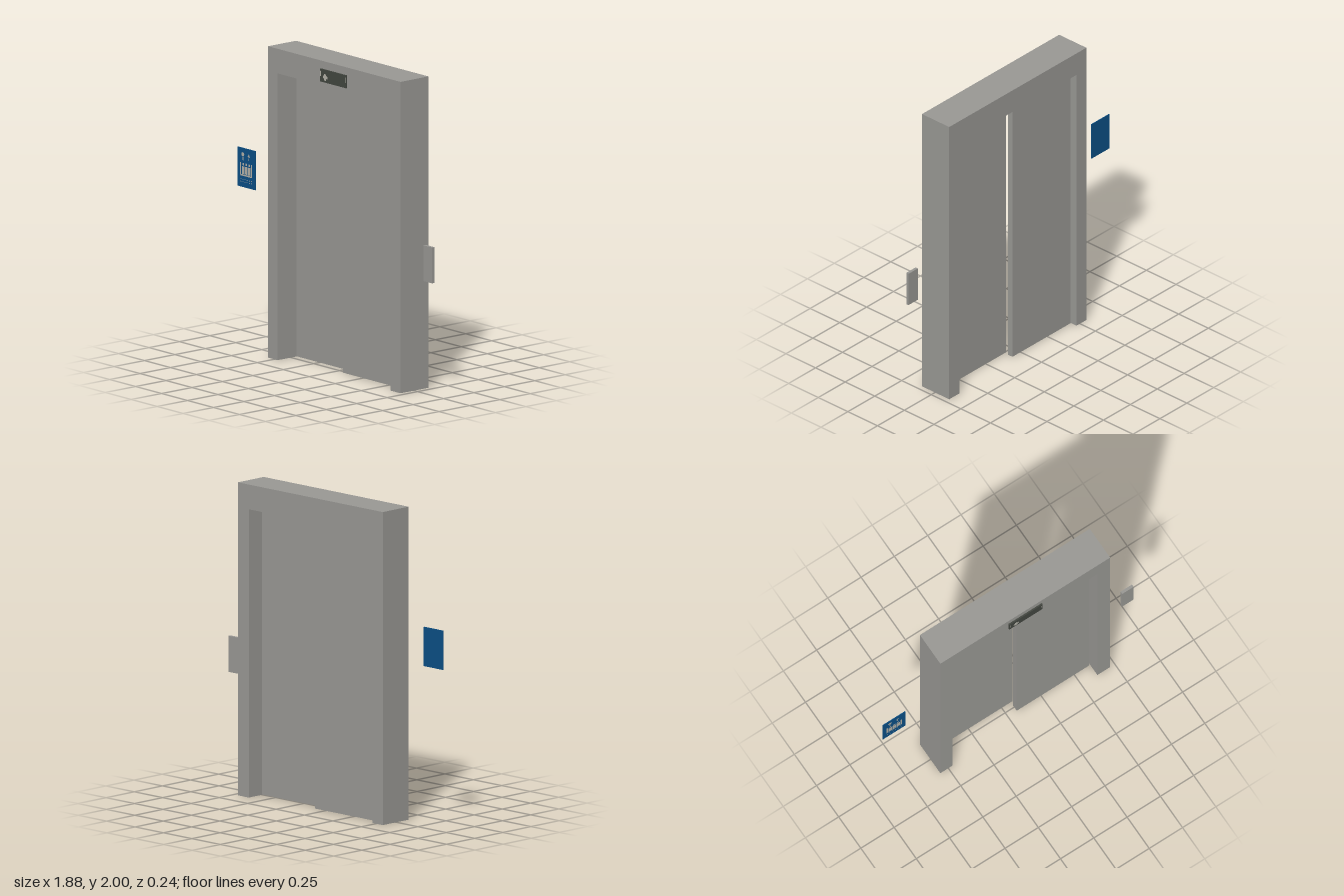
import * as THREE from 'three';

export function createModel() {
  const model = new THREE.Group();
  model.name = 'elevatorEntrance';

  const mat = (name, color, side = THREE.FrontSide) => {
    const m = new THREE.MeshStandardMaterial({ color, side });
    m.name = name;
    return m;
  };
  const steel = mat('brushed steel', 0x999894);
  const dark = mat('dark display', 0x434740);
  const blue = mat('sign blue', 0x0b4f85);
  const pale = mat('pale symbol', 0xb4b2a8, THREE.DoubleSide);

  // Box given by its limits on each axis
  const box = (name, material, x0, x1, y0, y1, z0, z1, parent = model) => {
    const mesh = new THREE.Mesh(new THREE.BoxGeometry(x1 - x0, y1 - y0, z1 - z0), material);
    mesh.position.set((x0 + x1) / 2, (y0 + y1) / 2, (z0 + z1) / 2);
    mesh.name = name;
    parent.add(mesh);
    return mesh;
  };
  // Flat painted shape facing +z
  const plate = (name, geometry, x, y, z, parent) => {
    const mesh = new THREE.Mesh(geometry, pale);
    mesh.position.set(x, y, z);
    mesh.name = name;
    parent.add(mesh);
    return mesh;
  };
  const rect = (w, h) => new THREE.PlaneGeometry(w, h);

  // Door surround: two posts and a header, open at the floor
  const outline = new THREE.Shape([
    [-0.56, 0], [-0.468, 0], [-0.468, 1.842], [0.619, 1.842],
    [0.619, 0], [0.715, 0], [0.715, 2], [-0.56, 2],
  ].map(([x, y]) => new THREE.Vector2(x, y)));
  const frame = new THREE.Mesh(
    new THREE.ExtrudeGeometry(outline, { depth: 0.23, bevelEnabled: false }), steel);
  frame.position.z = -0.12;
  frame.name = 'doorFrame';
  model.add(frame);

  // Two sliding panels on separate tracks
  box('rearDoorPanel', steel, -0.46, 0.08, 0.004, 1.842, -0.077, -0.038);
  box('frontDoorPanel', steel, 0.067, 0.611, 0.004, 1.842, -0.01, 0.03);

  // Floor indicator above the doors
  const indicator = new THREE.Group();
  indicator.name = 'floorIndicator';
  model.add(indicator);
  box('indicatorHousing', dark, -0.05, 0.202, 1.868, 1.95, 0.11, 0.12, indicator);
  const iz = 0.1212;
  plate('indicatorSymbol', rect(0.042, 0.016), 0.002, 1.902, iz, indicator);
  plate('indicatorSymbolUpright', rect(0.016, 0.042), 0.002, 1.902, iz, indicator);
  plate('indicatorSymbolCentre', new THREE.CircleGeometry(0.017, 8), 0.002, 1.902, iz, indicator);
  for (const x of [-0.042, 0.194]) {
    plate('indicatorEndMark', rect(0.005, 0.035), x, 1.92, iz, indicator);
  }

  // Call panel on the model's left
  box('callPanel', steel, 0.852, 0.938, 0.735, 0.965, 0.021, 0.04);

  // Wall sign on the model's right
  const sign = new THREE.Group();
  sign.name = 'wallSign';
  model.add(sign);
  box('signBoard', blue, -0.942, -0.772, 1.025, 1.276, 0.03, 0.035, sign);
  const sz = 0.0362;
  const cx = -0.857;

  // Pictogram of a cabin with passengers
  for (const s of [-1, 1]) {
    plate('cabinSide', rect(0.009, 0.08), cx + s * 0.053, 1.142, sz, sign);
  }
  plate('cabinFloor', rect(0.114, 0.01), cx, 1.102, sz, sign);
  for (const i of [-1, 0, 1]) {
    plate('passengerBody', rect(0.025, 0.05), cx + i * 0.029, 1.134, sz, sign);
    plate('passengerHead', new THREE.CircleGeometry(0.009, 10), cx + i * 0.029, 1.173, sz, sign);
  }

  // Marks above the cabin and dashes below it
  plate('roundMark', new THREE.CircleGeometry(0.014, 10), -0.889, 1.235, sz, sign);
  plate('roundMarkStem', rect(0.008, 0.022), -0.889, 1.208, sz, sign);
  plate('arrowMark', new THREE.CircleGeometry(0.014, 3), -0.832, 1.232, sz, sign)
    .rotation.z = Math.PI / 2;
  plate('arrowMarkStem', rect(0.008, 0.016), -0.832, 1.211, sz, sign);
  for (const y of [1.075, 1.06]) {
    for (let i = 0; i < 6; i++) {
      plate('dash', rect(0.01, 0.004), cx - 0.05 + i * 0.02, y, sz, sign);
    }
  }
  return model;
}
